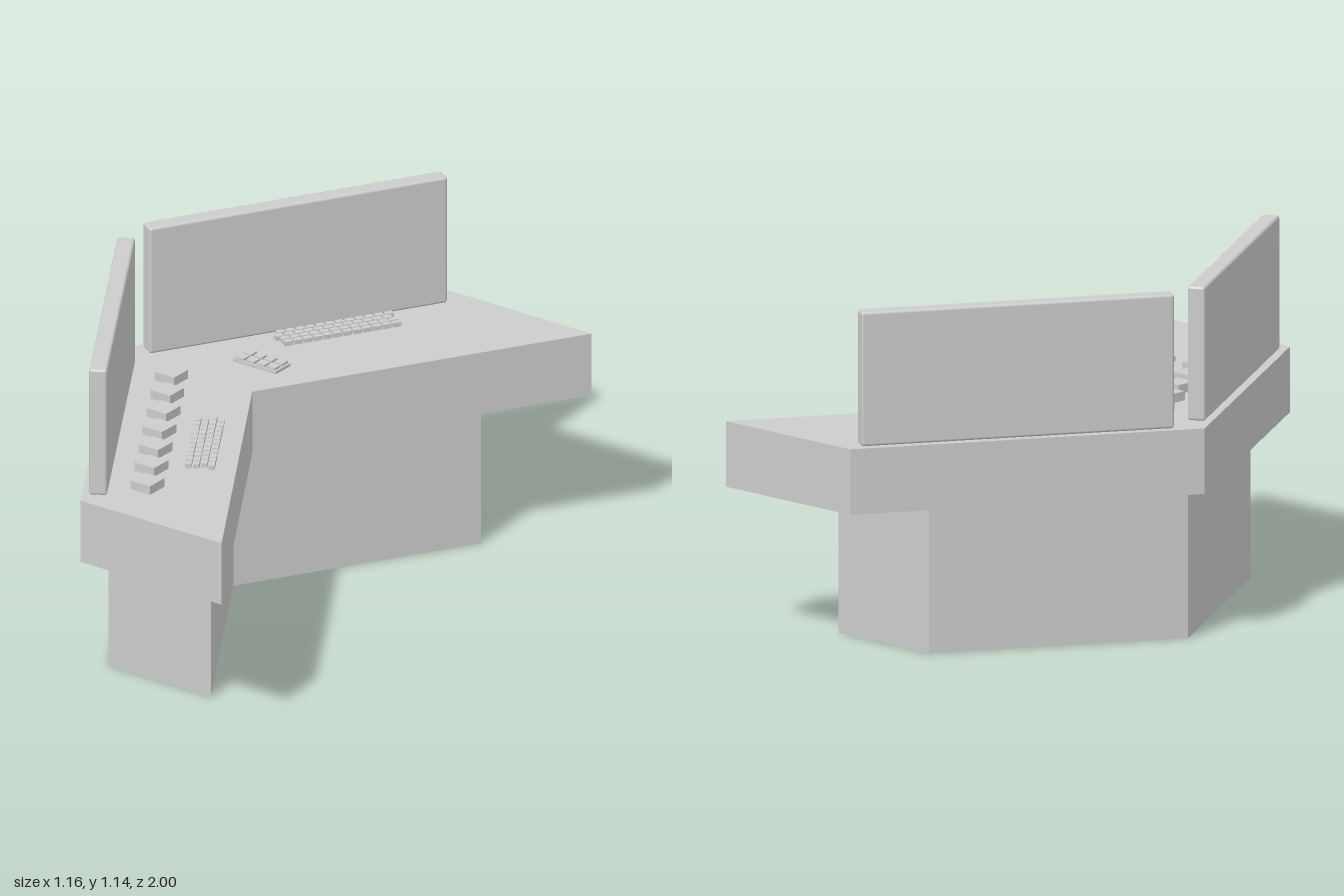
import * as THREE from 'three';
import { mergeGeometries } from 'three/addons/utils/BufferGeometryUtils.js';
import { RoundedBoxGeometry } from 'three/addons/geometries/RoundedBoxGeometry.js';

const ANGLE = 1.027; // turn of each wing about the vertical
const TOP = 0.7; // height of the desk surface

export function createModel() {
  const group = new THREE.Group();
  const grey = new THREE.MeshStandardMaterial({ color: 0xcccccc });
  grey.name = 'plainGrey';

  const add = (name, geometry, x = 0, y = 0, z = 0, turn = 0) => {
    const mesh = new THREE.Mesh(geometry, grey);
    mesh.name = name;
    mesh.position.set(x, y, z);
    mesh.rotation.y = turn;
    group.add(mesh);
    return mesh;
  };

  // V-shaped prism: outer corner, inner corner, and the wing ends at +-z
  const chevron = (outer, inner, endOuter, endInner, z, height) => {
    const shape = new THREE.Shape([
      [outer, 0], [endOuter, -z], [endInner, -z], [inner, 0], [endInner, z], [endOuter, z],
    ].map(([px, py]) => new THREE.Vector2(px, py)));
    const geometry = new THREE.ExtrudeGeometry(shape, { depth: height, bevelEnabled: false });
    return geometry.rotateX(-Math.PI / 2);
  };

  add('base', chevron(-0.505, -0.105, -0.065, 0.34, 0.73, 0.485));
  add('deskTop', chevron(-0.58, -0.03, 0.022, 0.58, 1, TOP - 0.485), 0, 0.485);

  // Upright screens along the outer edges
  for (const side of [-1, 1]) {
    add(side < 0 ? 'rearScreen' : 'frontScreen', new RoundedBoxGeometry(1.03, 0.44, 0.058, 2, 0.009),
      -0.222, TOP + 0.22, side * 0.495, -side * ANGLE);
  }

  // Keyboards: four slightly staggered rows of small keys
  const keyboard = (name, x, z, turn, count) => {
    const keys = [];
    [0.006, -0.01, 0, 0].forEach((shift, row) => {
      for (let i = 0; i < count; i++) {
        const key = new THREE.BoxGeometry(0.028, 0.015, 0.02);
        keys.push(key.translate((i - (count - 1) / 2) * 0.034 + shift, 0, (row - 1.5) * 0.025));
      }
    });
    add(name, mergeGeometries(keys), x, TOP + 0.0075, z, turn);
  };
  keyboard('rearKeyboard', -0.088, -0.54, ANGLE, 12);
  keyboard('frontKeyboard', 0.09, 0.42, -ANGLE, 11);

  // Row of square buttons
  for (let i = 0; i < 7; i++) {
    add('button' + (i + 1), new THREE.BoxGeometry(0.077, 0.03, 0.077),
      -0.295 + i * 0.072, TOP + 0.015, 0.075 + i * 0.12);
  }

  // Small switch panel with two rows of keys
  add('switchPanel', new THREE.BoxGeometry(0.17, 0.01, 0.08), -0.133, TOP + 0.005, -0.192);
  const switches = [];
  for (let i = 0; i < 4; i++) {
    for (const row of [-1, 1]) {
      const key = new THREE.BoxGeometry(0.032, 0.008, 0.032);
      switches.push(key.translate((i - 1.5) * 0.041, 0, row * 0.02));
    }
  }
  add('switches', mergeGeometries(switches), -0.133, TOP + 0.014, -0.192);

  return group;
}
